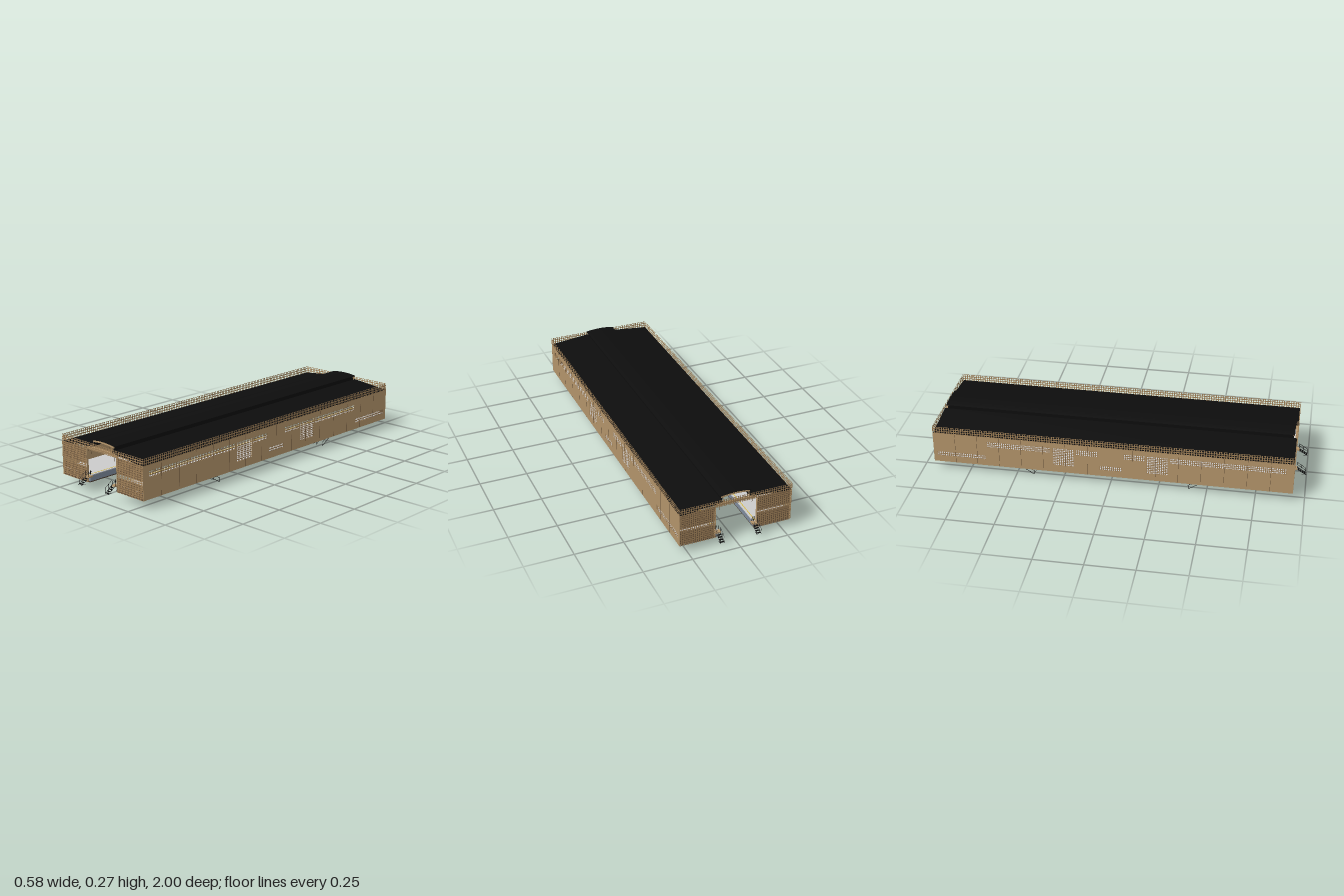
import * as THREE from 'three';
import { mergeGeometries } from 'three/addons/utils/BufferGeometryUtils.js';

const mat = (color) => new THREE.MeshStandardMaterial({ color, side: THREE.DoubleSide });
const M = {
  tan: mat(0xb3946a), lattice: mat(0xa08058), wall: mat(0x6a543c), black: mat(0x0d0d0d),
  brown: mat(0x4a392d), floor: mat(0xcccccc), edge: mat(0x7d8b9c), yellow: mat(0xd8b83a),
};

function add(parent, name, geo, material, x = 0, y = 0, z = 0) {
  const m = new THREE.Mesh(geo, material);
  m.name = name;
  m.position.set(x, y, z);
  parent.add(m);
  return m;
}

// Box given by its extents
function box(parent, name, material, x0, x1, y0, y1, z0, z1) {
  return add(parent, name, new THREE.BoxGeometry(x1 - x0, y1 - y0, z1 - z0), material,
    (x0 + x1) / 2, (y0 + y1) / 2, (z0 + z1) / 2);
}

// Thin bar between two points
function bar(parent, name, a, b, r, material = M.black) {
  const p = new THREE.Vector3(...a), q = new THREE.Vector3(...b);
  const m = add(parent, name, new THREE.CylinderGeometry(r, r, p.distanceTo(q), 5), material);
  m.position.copy(p).add(q).multiplyScalar(0.5);
  m.quaternion.setFromUnitVectors(new THREE.Vector3(0, 1, 0), q.sub(p).normalize());
  return m;
}

// Profile of [x, y] points swept along z
function sweep(points, z0, z1) {
  const shape = new THREE.Shape(points.map((p) => new THREE.Vector2(...p)));
  return new THREE.ExtrudeGeometry(shape, { depth: z1 - z0, bevelEnabled: false }).translate(0, 0, z0);
}

// Perforated sheet in the xy plane, from (x0, y0) to (x1, y1)
function lattice(x0, x1, y0, y1, cell, big = 0.4, small = 0.32) {
  const nx = Math.max(1, Math.round((x1 - x0) / cell)), ny = Math.max(1, Math.round((y1 - y0) / cell));
  const cw = (x1 - x0) / nx, ch = (y1 - y0) / ny;
  const tiles = [big, small].map((r) => {
    const s = new THREE.Shape([[0, 0], [1, 0], [1, 1], [0, 1]].map((p) => new THREE.Vector2(...p)));
    const hole = [];
    for (let i = 0; i < 6; i++) {
      const a = -i * Math.PI / 3;
      hole.push(new THREE.Vector2(0.5 + r * Math.cos(a), 0.5 + r * Math.sin(a)));
    }
    s.holes.push(new THREE.Path(hole));
    return new THREE.ShapeGeometry(s).scale(cw, ch, 1);
  });
  const parts = [];
  for (let i = 0; i < nx; i++) for (let j = 0; j < ny; j++) {
    parts.push(tiles[(i + j) % 2].clone().translate(x0 + i * cw, y0 + j * ch, 0));
  }
  return mergeGeometries(parts);
}

// Arched strip profile: outer and inner curves of equal rise
function archProfile(half, y, rise, thick) {
  const up = [], down = [];
  for (let i = 0; i <= 12; i++) {
    const t = i / 6 - 1, h = y + rise * (1 - t * t);
    up.push([t * half, h + thick]);
    down.unshift([t * half, h]);
  }
  return [...up, ...down].reverse();
}

// Screened openings of the long walls: z start, z end, y low, y high
const openings = [
  [0.31, 0.90, 0.155, 0.187], [0.19, 0.30, 0.085, 0.187], [0.07, 0.18, 0.155, 0.187],
  [-0.055, 0.06, 0.08, 0.105], [-0.18, -0.065, 0.155, 0.187], [-0.30, -0.19, 0.085, 0.187],
  [-0.65, -0.315, 0.155, 0.187], [-0.92, -0.66, 0.08, 0.105],
];

// One side building on +x: platform, long wall, roof slope
function sideBuilding() {
  const g = new THREE.Group();
  g.name = 'sideBuilding';
  box(g, 'underside', M.brown, 0.096, 0.29, 0.045, 0.05, -0.935, 0.935);
  box(g, 'platformEdge', M.edge, 0.095, 0.11, 0.05, 0.08, -0.932, 0.932);
  box(g, 'platformFloor', M.floor, 0.093, 0.288, 0.079, 0.083, -0.932, 0.932);
  box(g, 'safetyLine', M.yellow, 0.103, 0.107, 0.083, 0.0836, -0.93, 0.93);

  // Long wall; shape x runs along -z
  const wall = new THREE.Shape([[-0.94, 0.045], [0.94, 0.045], [0.94, 0.217], [-0.94, 0.217]]
    .map((p) => new THREE.Vector2(...p)));
  for (const [a, b, lo, hi] of openings) {
    wall.holes.push(new THREE.Path([[-b, lo], [-b, hi], [-a, hi], [-a, lo]].map((p) => new THREE.Vector2(...p))));
  }
  const wallGeo = new THREE.ExtrudeGeometry(wall, { depth: 0.003, bevelEnabled: false });
  add(g, 'longWall', wallGeo.rotateY(Math.PI / 2), M.tan, 0.289);
  const screens = openings.map(([a, b, lo, hi]) => lattice(-b, -a, lo, hi, 0.0105));
  add(g, 'windowScreens', mergeGeometries(screens).rotateY(Math.PI / 2), M.lattice, 0.291);
  for (let i = 1; i < 16; i++) {
    const z = -0.94 + i * 0.1175;
    box(g, 'wallJoint', M.wall, 0.2918, 0.2924, 0.047, 0.215, z - 0.0008, z + 0.0008);
  }
  add(g, 'sideParapet', lattice(-0.94, 0.94, 0.215, 0.253, 0.0127, 0.44, 0.34).rotateY(Math.PI / 2), M.lattice, 0.2925);

  // Sloping roof, clerestory band and eaves beam
  add(g, 'roofSlope', sweep([[0.291, 0.212], [0.291, 0.217], [0.07, 0.24], [0.07, 0.235]], -0.936, 0.936), M.black);
  box(g, 'clerestory', M.black, 0.067, 0.071, 0.236, 0.258, -0.92, 0.92);
  box(g, 'eavesBeam', M.tan, 0.081, 0.086, 0.222, 0.23, -0.93, 0.93);
  return g;
}

// One end of one side building, at +x and +z
function endCorner() {
  const g = new THREE.Group();
  g.name = 'endCorner';
  add(g, 'endScreen', lattice(0.108, 0.2925, 0.045, 0.217, 0.0108, 0.38, 0.3), M.lattice, 0, 0, 0.94);
  box(g, 'endWallLower', M.wall, 0.109, 0.289, 0.05, 0.118, 0.928, 0.932);
  box(g, 'endWallUpper', M.wall, 0.109, 0.289, 0.138, 0.215, 0.928, 0.932);
  box(g, 'portalJamb', M.tan, 0.107, 0.11, 0.045, 0.217, 0.93, 0.941);

  // Service stair with handrails
  box(g, 'stairLanding', M.tan, 0.083, 0.108, 0.074, 0.081, 0.925, 0.952);
  for (let i = 0; i < 4; i++) {
    const z = 0.958 + i * 0.011, y = 0.07 - i * 0.0065;
    box(g, 'stairTread', M.black, 0.086, 0.106, y, y + 0.002, z - 0.004, z + 0.004);
  }
  for (const x of [0.085, 0.107]) {
    bar(g, 'stairStringer', [x, 0.077, 0.95], [x, 0.048, 0.996], 0.0012);
    bar(g, 'stairFoot', [x, 0.049, 0.975], [x, 0.049, 1], 0.001);
    bar(g, 'stairRail', [x, 0.105, 0.95], [x, 0.075, 0.994], 0.001);
    bar(g, 'railPost', [x, 0.08, 0.95], [x, 0.108, 0.95], 0.001);
    bar(g, 'railPost', [x, 0.05, 0.994], [x, 0.075, 0.994], 0.001);
    bar(g, 'railPost', [x, 0.063, 0.972], [x, 0.09, 0.972], 0.001);
  }
  for (let i = 0; i < 5; i++) {
    const x = 0.087 + i * 0.0045;
    bar(g, 'gateBar', [x, 0.081, 0.928], [x, 0.104, 0.928], 0.0007);
  }

  // Escalator below the floor; profile in (-z, y)
  const profile = [[-0.48, 0.046], [-0.425, 0.012], [-0.38, 0.01], [-0.375, 0.02], [-0.405, 0.03], [-0.435, 0.046]];
  add(g, 'escalator', sweep(profile, 0, 0.038).rotateY(Math.PI / 2), M.black, 0.186);

  // Slender stair beside it
  for (const x of [0.227, 0.27]) {
    bar(g, 'stairSide', [x, 0.045, 0.475], [x, 0.004, 0.41], 0.0013);
    bar(g, 'stairHandrail', [x, 0.045, 0.445], [x, 0.02, 0.4], 0.001);
    bar(g, 'stairPost', [x, 0, 0.405], [x, 0.022, 0.405], 0.001);
  }
  return g;
}

export function createModel() {
  const model = new THREE.Group();
  model.name = 'elevatedStation';
  for (const sx of [1, -1]) {
    const side = sideBuilding();
    side.scale.x = sx;
    model.add(side);
    for (const sz of [1, -1]) {
      const corner = endCorner();
      corner.scale.set(sx, 1, sz);
      model.add(corner);
    }
  }

  // Raised centre canopy
  add(model, 'canopyRoof', sweep(archProfile(0.081, 0.261, 0.0075, 0.003), -0.925, 0.925), M.black);
  for (const s of [1, -1]) {
    add(model, 'canopyFascia', sweep(archProfile(0.074, 0.254, 0.006, 0.007), s * 0.92 - 0.005, s * 0.92 + 0.005), M.tan);
    add(model, 'endParapet', lattice(-0.2925, 0.2925, 0.217, 0.253, 0.012, 0.44, 0.34), M.lattice, 0, 0, s * 0.94);
  }

  // Portal beams across the track, with hangers
  const beam = [[-0.108, 0.217], [0, 0.221], [0.108, 0.217], [0.108, 0.23], [0, 0.234], [-0.108, 0.23]];
  const beamGeo = sweep(beam, -0.004, 0.004);
  for (let i = 0; i <= 16; i++) {
    const z = -0.932 + i * 0.1165;
    add(model, 'portalBeam', beamGeo, M.tan, 0, 0, z);
    for (const s of [1, -1]) {
      bar(model, 'hanger', [s * 0.084, 0.194, z], [s * 0.084, 0.222, z], 0.0012, M.wall);
      bar(model, 'canopyPost', [s * 0.066, 0.236, z], [s * 0.066, 0.261, z], 0.0015, M.tan);
    }
  }
  return model;
}
